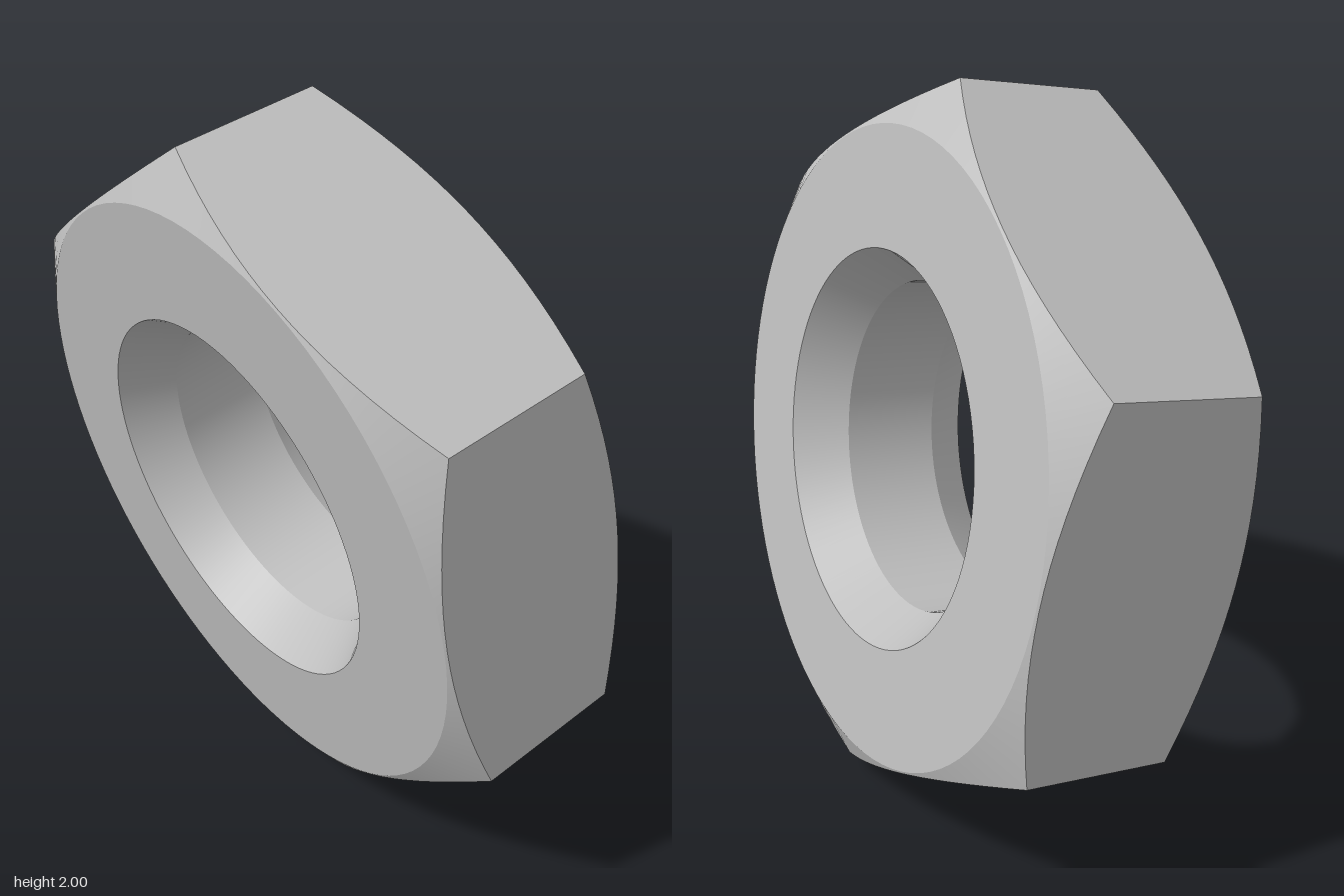
import * as THREE from 'three';
import { toCreasedNormals } from 'three/addons/utils/BufferGeometryUtils.js';

const CORNER = 0.983;                        // hexagon corner radius
const APOTHEM = CORNER * Math.cos(Math.PI / 6);
const HALF = 0.282;                          // half thickness
const FACE = 0.845;                          // radius where the corner chamfer starts
const BORE = 0.446, BORE_HALF = 0.14;        // straight part of the hole
const MOUTH = 0.53;                          // countersunk mouth of the hole
const PER_SIDE = 16;

// Closed section [axial, radial] of the nut at one angle
function section(angle) {
  const side = Math.PI / 3;
  const local = (angle % side) - side / 2;
  const r = APOTHEM / Math.cos(local);
  const h = HALF - (r - FACE) * Math.tan(Math.PI / 6);
  return [
    [-BORE_HALF, BORE], [BORE_HALF, BORE], [HALF, MOUTH], [HALF, FACE],
    [h, r], [-h, r], [-HALF, FACE], [-HALF, MOUTH],
  ];
}

// Sweep the section round the x axis
function nutGeometry() {
  const steps = PER_SIDE * 6, n = 8;
  const positions = [], indices = [];
  for (let i = 0; i < steps; i++) {
    const t = (i / steps) * Math.PI * 2;
    for (const [x, r] of section(t)) positions.push(x, r * Math.cos(t), r * Math.sin(t));
    const next = (i + 1) % steps;
    for (let j = 0; j < n; j++) {
      const k = (j + 1) % n;
      const a = i * n + j, b = i * n + k, c = next * n + k, d = next * n + j;
      indices.push(a, b, c, a, c, d);
    }
  }
  const g = new THREE.BufferGeometry();
  g.setAttribute('position', new THREE.Float32BufferAttribute(positions, 3));
  g.setIndex(indices);
  return toCreasedNormals(g, 0.4);
}

export function createModel() {
  const steel = new THREE.MeshStandardMaterial({ color: 0xbfbfbf });
  steel.name = 'light grey steel';

  const nut = new THREE.Mesh(nutGeometry(), steel);
  nut.name = 'hexNut';

  // Tilt: the hole's axis and the direction of the top corner
  const axis = new THREE.Vector3(0.4, 0.0635, -0.035).normalize();
  const up = new THREE.Vector3(-0.16, 0.97, -0.0475);
  up.addScaledVector(axis, -up.dot(axis)).normalize();
  const third = new THREE.Vector3().crossVectors(axis, up);
  nut.quaternion.setFromRotationMatrix(new THREE.Matrix4().makeBasis(axis, up, third));
  nut.position.y = 1;

  const group = new THREE.Group();
  group.name = 'tiltedNut';
  group.add(nut);
  return group;
}
